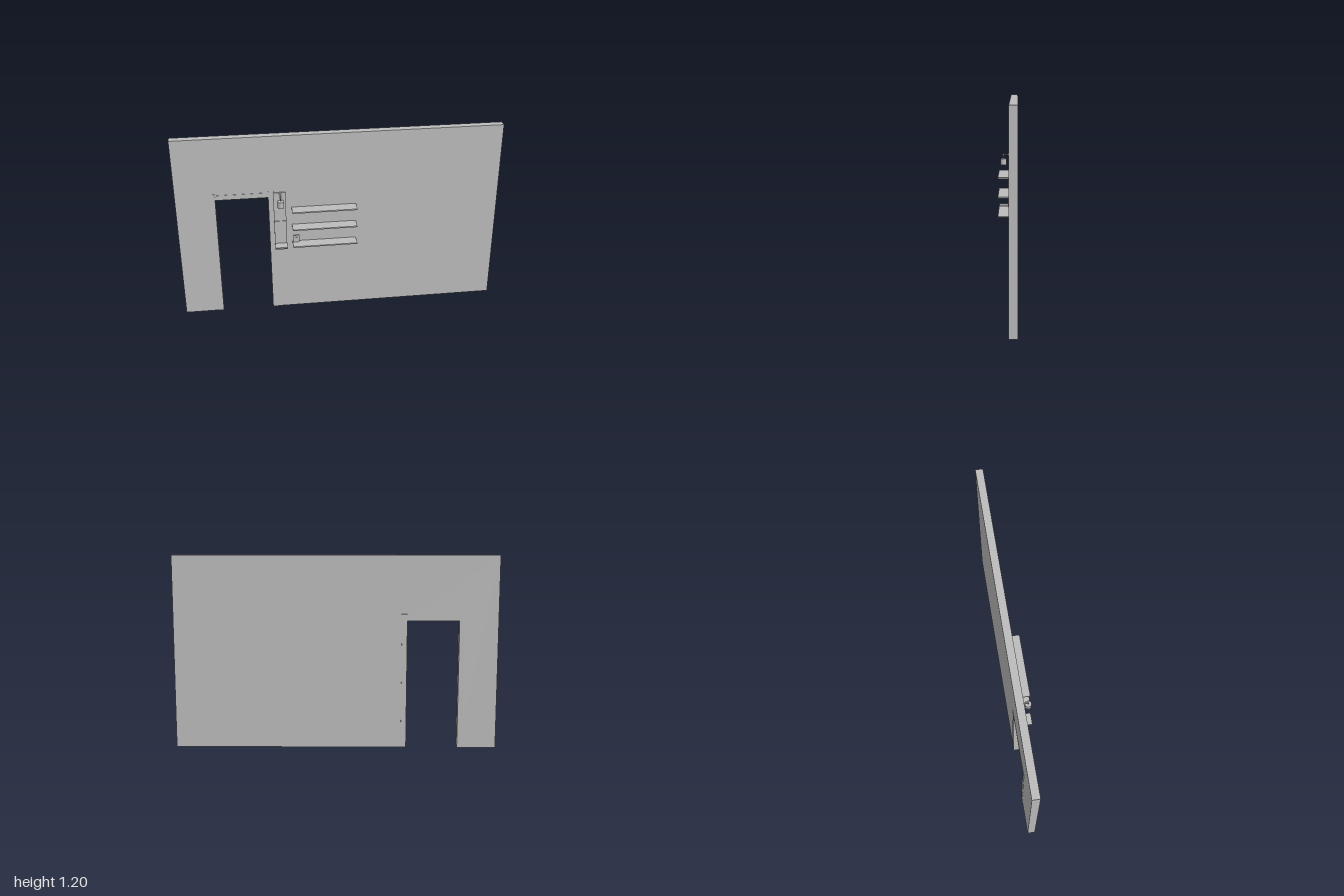
import * as THREE from 'three';

const grey = new THREE.MeshStandardMaterial({ color: 0xbcbcbc });
grey.name = 'plain grey';

export function createModel() {
  const model = new THREE.Group();
  model.name = 'wallWithDoorway';

  const add = (name, geometry, x = 0, y = 0, z = 0, parent = model) => {
    const mesh = new THREE.Mesh(geometry, grey);
    mesh.name = name;
    mesh.position.set(x, y, z);
    parent.add(mesh);
    return mesh;
  };
  // Box given by its limits on each axis
  const block = (name, x0, x1, y0, y1, z0, z1, parent = model) =>
    add(name, new THREE.BoxGeometry(x1 - x0, y1 - y0, z1 - z0),
      (x0 + x1) / 2, (y0 + y1) / 2, (z0 + z1) / 2, parent);

  const BACK = -0.059, FRONT = -0.012;
  const DOOR = { x: -0.6, half: 0.16, top: 0.8 };
  const lining = 0.005;

  // Wall outline with the doorway cut out of its lower edge
  const l = DOOR.x - DOOR.half - lining, r = DOOR.x + DOOR.half + lining, t = DOOR.top + lining;
  const outline = new THREE.Shape([
    [-1, 0], [l, 0], [l, t], [r, t], [r, 0], [1, 0], [1, 1.2], [-1, 1.2],
  ].map(([x, y]) => new THREE.Vector2(x, y)));
  add('wall', new THREE.ExtrudeGeometry(outline, { depth: FRONT - BACK, bevelEnabled: false }), 0, 0, BACK);

  // Door frame: lining, then casing and corner blocks on both faces
  const frame = new THREE.Group();
  frame.name = 'doorFrame';
  model.add(frame);
  block('headLining', l, r, DOOR.top, t, BACK, FRONT, frame);
  for (const side of [-1, 1]) {
    const inner = DOOR.x + side * DOOR.half;
    const span = (w) => [Math.min(inner, inner + side * w), Math.max(inner, inner + side * w)];
    block('jambLining', ...span(lining), 0, DOOR.top, BACK, FRONT, frame);
    for (const [z0, z1, out] of [[FRONT, FRONT + 0.002, 1], [BACK - 0.002, BACK, -1]]) {
      block('sideCasing', ...span(0.033), 0, DOOR.top, z0, z1, frame);
      block('cornerBlock', ...span(0.036), DOOR.top, 0.84,
        z0 - (out < 0 ? 0.001 : 0), z1 + (out > 0 ? 0.001 : 0), frame);
    }
  }
  for (const [z0, z1] of [[FRONT, FRONT + 0.002], [BACK - 0.002, BACK]]) {
    block('headCasing', DOOR.x - DOOR.half, DOOR.x + DOOR.half, DOOR.top, 0.832, z0, z1, frame);
  }

  // Three long wall shelves
  for (const y of [0.48, 0.6, 0.72]) {
    block('wallShelf', -0.3, 0.1, y - 0.004, y + 0.004, FRONT, 0.063);
  }

  // Tall board beside the door, held off the wall by a batten
  const station = new THREE.Group();
  station.name = 'wallStation';
  model.add(station);
  block('batten', -0.395, -0.35, 0.5, 0.8, FRONT, -0.004, station);
  block('backBoard', -0.41, -0.335, 0.435, 0.835, -0.004, 0.002, station);
  block('lowerPanel', -0.41, -0.335, 0.48, 0.64, 0.002, 0.006, station);
  block('smallShelf', -0.41, -0.335, 0.476, 0.484, 0.002, 0.063, station);

  // Lamp hanging from a short arm
  const lamp = new THREE.Group();
  lamp.name = 'lamp';
  lamp.position.set(-0.367, 0, 0.037);
  model.add(lamp);
  const cylinder = (name, radius, height, y, z = 0, sides = 16) =>
    add(name, new THREE.CylinderGeometry(radius, radius, height, sides), 0, y, z, lamp);
  cylinder('lampMount', 0.01, 0.004, 0.82, -0.033).rotation.x = Math.PI / 2;
  cylinder('lampArm', 0.003, 0.04, 0.82, -0.017).rotation.x = Math.PI / 2;
  cylinder('armKnuckle', 0.005, 0.012, 0.82);
  cylinder('lampStem', 0.0025, 0.03, 0.805);
  cylinder('lampShade', 0.02, 0.042, 0.772, 0, 32);

  // Small plate standing on the lowest shelf, with a raised centre
  const plate = new THREE.Group();
  plate.name = 'smallPlate';
  model.add(plate);
  block('plateBody', -0.295, -0.258, 0.484, 0.532, -0.002, 0.004, plate);
  block('plateCentre', -0.283, -0.27, 0.502, 0.518, 0.004, 0.006, plate);

  return model;
}
